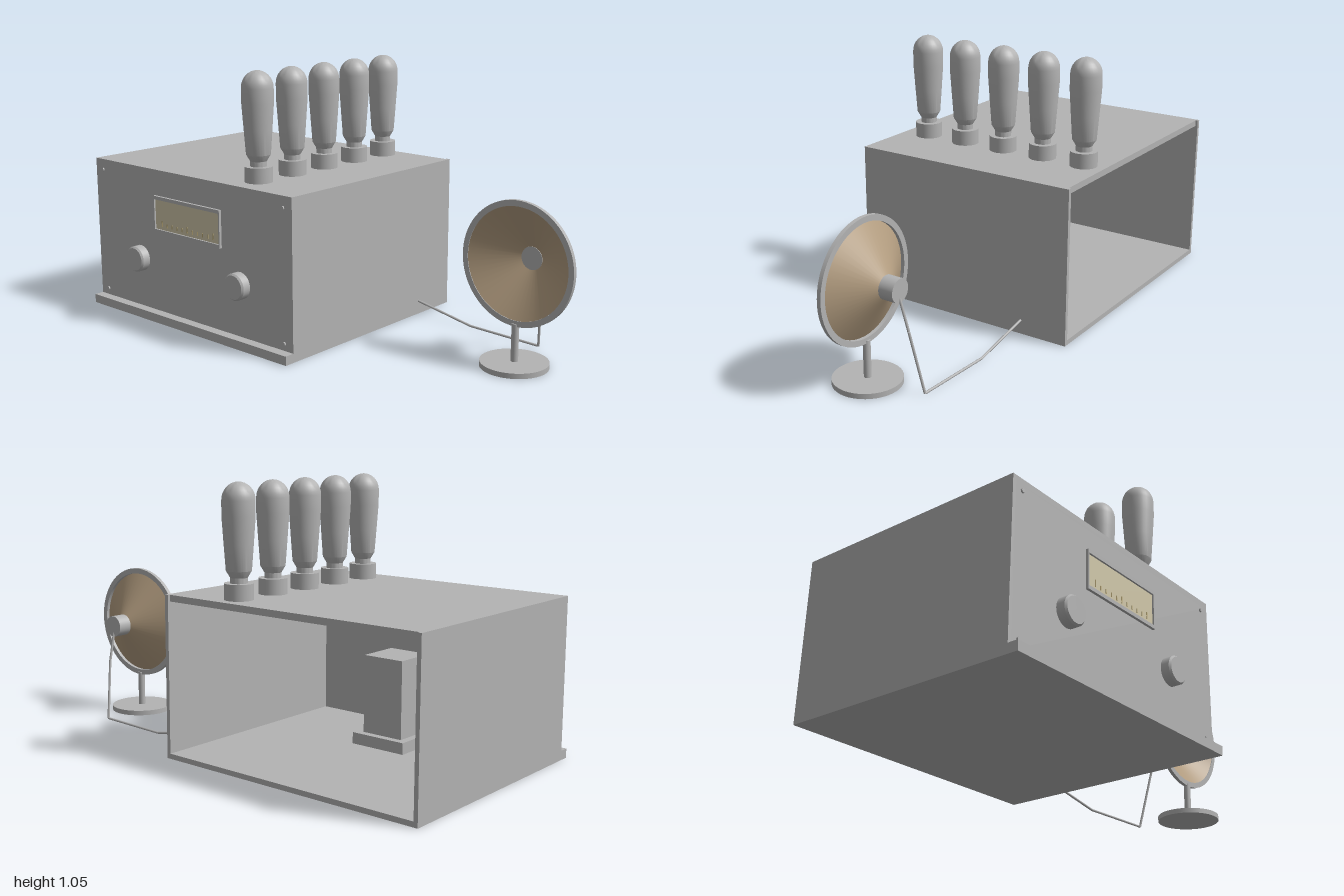
import * as THREE from 'three';
import { toCreasedNormals } from 'three/addons/utils/BufferGeometryUtils.js';

const mat = (name, color, extra = {}) => {
  const m = new THREE.MeshStandardMaterial({ color, ...extra });
  m.name = name;
  return m;
};

export function createModel() {
  const grey = mat('grey', 0xb3b3b3);
  const tan = mat('cone tan', 0xb39d80, { side: THREE.DoubleSide });
  const cream = mat('dial cream', 0xd0c7a9);
  const ochre = mat('tick ochre', 0xb9a878);

  const model = new THREE.Group();
  model.name = 'valveRadio';

  const add = (name, geo, material = grey, pos = [0, 0, 0], parent = model) => {
    const mesh = new THREE.Mesh(geo, material);
    mesh.name = name;
    mesh.position.set(...pos);
    parent.add(mesh);
    return mesh;
  };
  // Box given by its minimum and maximum corners
  const slab = (name, a, b, material = grey) => add(
    name,
    new THREE.BoxGeometry(b[0] - a[0], b[1] - a[1], b[2] - a[2]),
    material,
    a.map((v, i) => (v + b[i]) / 2)
  );
  // Cylinder running from z0 to z1
  const disc = (name, r0, r1, x, y, z0, z1, segments = 32) => add(
    name,
    new THREE.CylinderGeometry(r1, r0, z1 - z0, segments).rotateX(Math.PI / 2),
    grey,
    [x, y, (z0 + z1) / 2]
  );
  const lathe = (points, segments = 32) => toCreasedNormals(
    new THREE.LatheGeometry(points.map(p => new THREE.Vector2(...p)), segments), 0.5);

  // Cabinet, open at the back
  const L = -1, R = 0.135, T = 0.625, F = 0.455, B = -0.495, w = 0.016;
  slab('floor', [L, 0, B], [R, 0.02, F]);
  slab('frontLip', [L, 0, F], [R, 0.036, 0.495]);
  slab('rightWall', [L, 0.02, B], [L + w, T, F]);
  slab('leftWall', [R - w, 0.02, B], [R, T, F]);
  slab('roof', [L + w, T - 0.025, B + 0.01], [R - w, T, F]);
  slab('frontPanel', [L + w, 0.02, F - w], [R - w, T - 0.025, F]);

  // Transformer inside
  slab('transformerFoot', [-0.55, 0.02, 0.065], [-0.315, 0.065, 0.30]);
  slab('transformerCore', [-0.52, 0.065, 0.095], [-0.345, 0.37, 0.27]);

  // Tuning dial: frame, scale and ticks
  const dx0 = -0.625, dx1 = -0.238, dy0 = 0.37, dy1 = 0.52, dz = 0.466;
  slab('dialScale', [dx0 + 0.004, dy0 + 0.004, F], [dx1 - 0.004, dy1 - 0.004, F + 0.004], cream);
  slab('dialFrameBottom', [dx0, dy0, F], [dx1, dy0 + 0.014, dz]);
  slab('dialFrameTop', [dx0, dy1 - 0.014, F], [dx1, dy1, dz]);
  slab('dialFrameRight', [dx0, dy0 + 0.014, F], [dx0 + 0.006, dy1 - 0.014, dz]);
  slab('dialFrameLeft', [dx1 - 0.006, dy0 + 0.014, F], [dx1, dy1 - 0.014, dz]);
  for (let i = 0; i < 11; i++) {
    const x = -0.58 + i * 0.03;
    const h = i % 5 === 0 ? 0.026 : 0.016;
    slab('dialTick', [x - 0.002, 0.396, F + 0.003], [x + 0.002, 0.396 + h, F + 0.006], ochre);
  }

  // Knobs and panel screws
  for (const x of [-0.725, -0.14]) {
    disc('knob', 0.053, 0.053, x, 0.242, F, 0.488);
    disc('knobCap', 0.053, 0.047, x, 0.242, 0.488, 0.495);
  }
  for (const x of [-0.955, 0.09])
    for (const y of [0.063, 0.58]) disc('screw', 0.008, 0.008, x, y, F, 0.461, 12);

  // Row of valves: socket and glass bulb
  const bulb = [[0.032, 0.05], [0.032, 0.08], [0.047, 0.105], [0.054, 0.2], [0.061, 0.3], [0.061, 0.357]];
  for (let i = 1; i <= 8; i++) {
    const a = (i / 8) * Math.PI / 2;
    bulb.push([i === 8 ? 0 : 0.061 * Math.cos(a), 0.357 + 0.065 * Math.sin(a)]);
  }
  const bulbGeo = lathe(bulb);
  const socketGeo = new THREE.CylinderGeometry(0.054, 0.054, 0.06, 32);
  for (let i = 0; i < 5; i++) {
    const valve = new THREE.Group();
    valve.name = 'valve';
    valve.position.set(-0.147, T, 0.34 - i * 0.184);
    add('valveSocket', socketGeo, grey, [0, 0.03, 0], valve);
    add('valveBulb', bulbGeo, grey, [0, 0, 0], valve);
    model.add(valve);
  }

  // Loudspeaker: rim, cone and magnet
  const sx = 0.762, sy = 0.388;
  const rim = new THREE.Shape().absarc(0, 0, 0.234, 0, Math.PI * 2);
  rim.holes.push(new THREE.Path().absarc(0, 0, 0.212, 0, Math.PI * 2, true));
  const rimGeo = new THREE.ExtrudeGeometry(rim, { depth: 0.016, bevelEnabled: false, curveSegments: 48 });
  add('speakerRim', toCreasedNormals(rimGeo, 0.5), grey, [sx, sy, -0.063]);
  add('speakerCone',
    new THREE.CylinderGeometry(0.212, 0.044, 0.102, 48, 1, true).rotateX(Math.PI / 2),
    tan, [sx, sy, -0.1]);
  disc('speakerMagnet', 0.044, 0.044, sx, sy, -0.21, -0.149);

  // Speaker stand
  add('standBase', new THREE.CylinderGeometry(0.128, 0.128, 0.02, 40), grey, [sx, 0.01, -0.055]);
  add('standPost', new THREE.CylinderGeometry(0.014, 0.014, 0.145, 20), grey, [sx, 0.0915, -0.055]);

  // Cable from cabinet to magnet
  const path = [
    [0.125, 0.057, -0.296], [0.4, 0.006, -0.296], [0.725, 0.006, -0.28],
    [0.755, 0.24, -0.238], [sx, 0.36, -0.207]
  ].map(p => new THREE.Vector3(...p));
  for (let i = 0; i < path.length - 1; i++)
    add('cable', new THREE.TubeGeometry(new THREE.LineCurve3(path[i], path[i + 1]), 1, 0.005, 8));

  return model;
}
